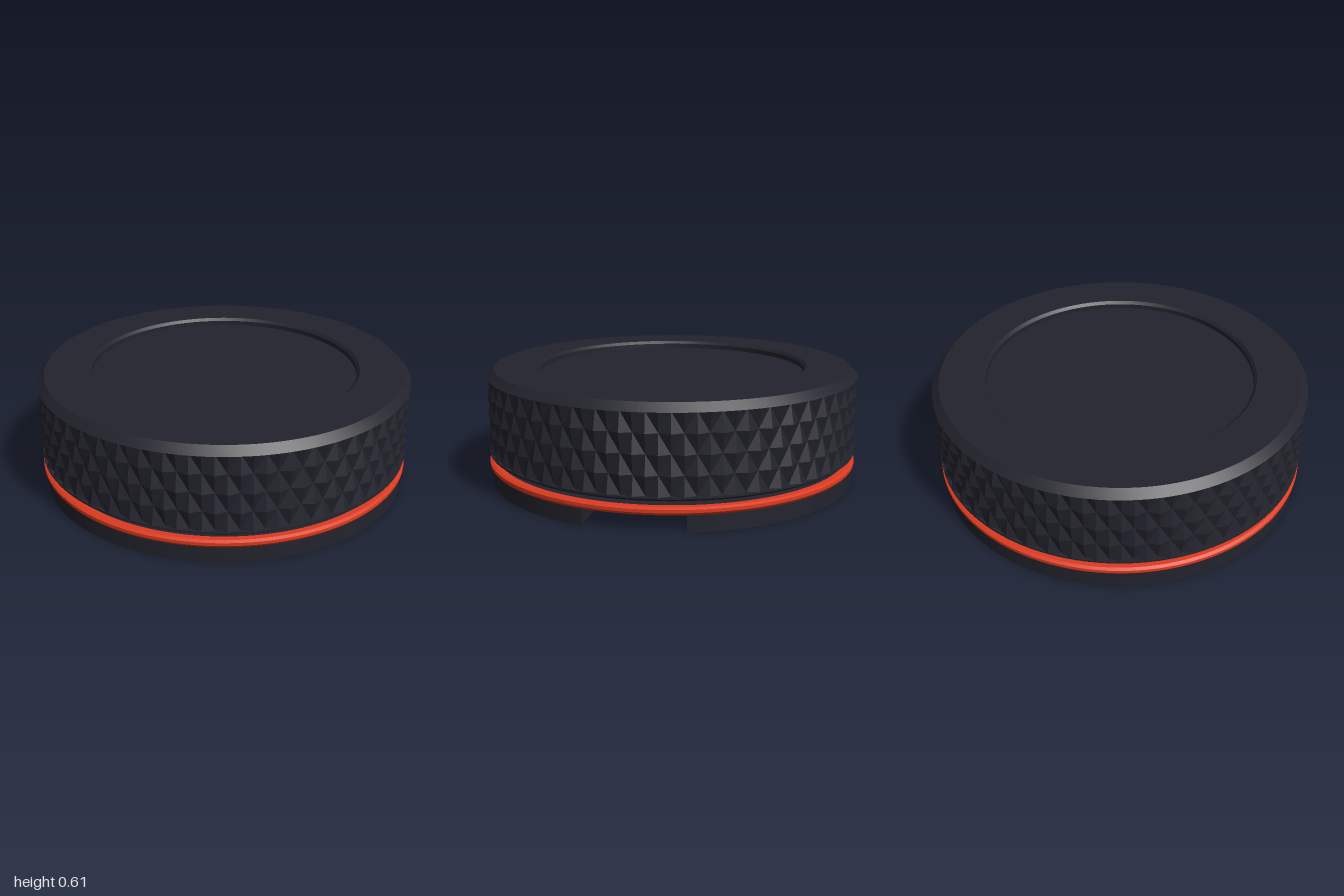
import * as THREE from 'three';
import { toCreasedNormals } from 'three/addons/utils/BufferGeometryUtils.js';

const dark = new THREE.MeshStandardMaterial({ color: 0x23232d });
dark.name = 'charcoal';
const orange = new THREE.MeshStandardMaterial({ color: 0xdb3a20 });
orange.name = 'orange red';

const V = (x, y) => new THREE.Vector2(x, y);

function part(name, geometry, material) {
  const mesh = new THREE.Mesh(geometry, material);
  mesh.name = name;
  return mesh;
}

// Turned part; outer profile runs from bottom to top
function turned(name, profile, material) {
  const g = new THREE.LatheGeometry(profile.map(([r, y]) => V(r, y)), 128);
  return part(name, toCreasedNormals(g, 0.4), material);
}

// Horizontal plate from a shape drawn in (x, z)
function plate(name, shape, bottom, top) {
  const g = new THREE.ExtrudeGeometry(shape, { depth: top - bottom, bevelEnabled: false, curveSegments: 32 });
  g.rotateX(Math.PI / 2);
  g.translate(0, top, 0);
  return part(name, toCreasedNormals(g, 0.4), dark);
}

function arc(cx, cz, r, from, to, n) {
  return Array.from({ length: n + 1 }, (_, i) => {
    const a = from + (to - from) * i / n;
    return V(cx + r * Math.cos(a), cz + r * Math.sin(a));
  });
}

// Band of staggered pyramids around the grip
function knurl(y0, y1, rows, diamonds, peak, valley) {
  const cols = diamonds * 2, pos = [];
  const point = (i, j) => {
    const r = (i + j) % 2 ? peak : valley, a = i / cols * Math.PI * 2;
    return [r * Math.sin(a), y0 + (y1 - y0) * j / rows, r * Math.cos(a)];
  };
  for (let j = 0; j < rows; j++) for (let i = 0; i < cols; i++) {
    const a = point(i, j), b = point(i + 1, j), c = point(i + 1, j + 1), d = point(i, j + 1);
    // split each cell along its valley
    const tris = (i + j) % 2 ? [a, b, d, b, c, d] : [a, b, c, a, c, d];
    tris.forEach(p => pos.push(...p));
  }
  const g = new THREE.BufferGeometry();
  g.setAttribute('position', new THREE.Float32BufferAttribute(pos, 3));
  g.computeVertexNormals();
  return g;
}

export function createModel() {
  const model = new THREE.Group();
  model.name = 'knob';

  // Rotating cap: hollow underside, chamfered rim, recessed top
  const cap = new THREE.Group();
  cap.name = 'cap';
  cap.add(
    turned('capUnderside', [[0, 0.52], [0.9, 0.52], [0.9, 0.15], [0.98, 0.15], [0.998, 0.163], [0.998, 0.172], [0.97, 0.172]], dark),
    turned('capTop', [[0.97, 0.57], [1, 0.57], [0.96, 0.61], [0.73, 0.61], [0.715, 0.595], [0.715, 0.57], [0, 0.57]], dark),
    part('knurledGrip', knurl(0.17, 0.57, 4, 52, 1, 0.977), dark)
  );
  model.add(cap);

  // Accent ring
  model.add(turned('accentRing', [[0.955, 0.085], [0.99, 0.085], [1, 0.098], [1, 0.114], [0.985, 0.122], [0.955, 0.122], [0.955, 0.085]], orange));

  // Base: frame of the hole layout is turned 50 degrees
  const c = Math.cos(50 * Math.PI / 180), s = Math.sin(50 * Math.PI / 180);
  const at = (u, v) => V(-v * c - u * s, v * s - u * c);

  // Lower plate outline with a rectangular edge notch
  const half = 0.25, inner = 0.565, R = 0.99, mid = -38 * Math.PI / 180, open = Math.asin(half / R);
  const outline = arc(0, 0, R, mid + open, mid + Math.PI * 2 - open, 120);
  for (const side of [-half, half])
    outline.push(V(inner, side).rotateAround(V(0, 0), mid));
  const lower = new THREE.Shape(outline);

  // Large hole with a short slot pointing to the centre
  const big = at(0.63, -0.13), toCentre = Math.atan2(-big.y, -big.x), w = 0.036;
  const gap = Math.asin(w / 0.31);
  const keyhole = arc(big.x, big.y, 0.31, toCentre + gap, toCentre + Math.PI * 2 - gap, 64);
  for (const side of [-w, w])
    keyhole.push(V(0.385, side).rotateAround(V(0, 0), toCentre).add(big));
  lower.holes.push(new THREE.Path(keyhole));

  // Screw holes: u, v, radius
  const screws = [
    [-0.54, -0.66, 0.044], [0.105, -0.255, 0.044], [0.2, 0.19, 0.044], [-0.68, 0.51, 0.044],
    [-0.27, 0.58, 0.044], [0.48, 0.42, 0.044], [0.78, 0.33, 0.044],
    [-0.74, -0.03, 0.027], [-0.37, -0.11, 0.027], [-0.665, 0.345, 0.027], [-0.29, 0.255, 0.027], [-0.42, -0.53, 0.02]
  ];
  for (const [u, v, r] of screws) {
    const p = at(u, v);
    lower.holes.push(new THREE.Path(arc(p.x, p.y, r, 0, Math.PI * 2, 20).slice(0, -1)));
  }

  // Upper plate closes the notch and the screw holes
  const upper = new THREE.Shape(arc(0, 0, 0.965, 0, Math.PI * 2, 128).slice(0, -1));
  upper.holes.push(new THREE.Path(arc(big.x, big.y, 0.31, 0, Math.PI * 2, 64).slice(0, -1)));

  const base = new THREE.Group();
  base.name = 'base';
  base.add(plate('basePlate', lower, 0, 0.085), plate('baseInnerPlate', upper, 0.085, 0.115));
  model.add(base);

  return model;
}
